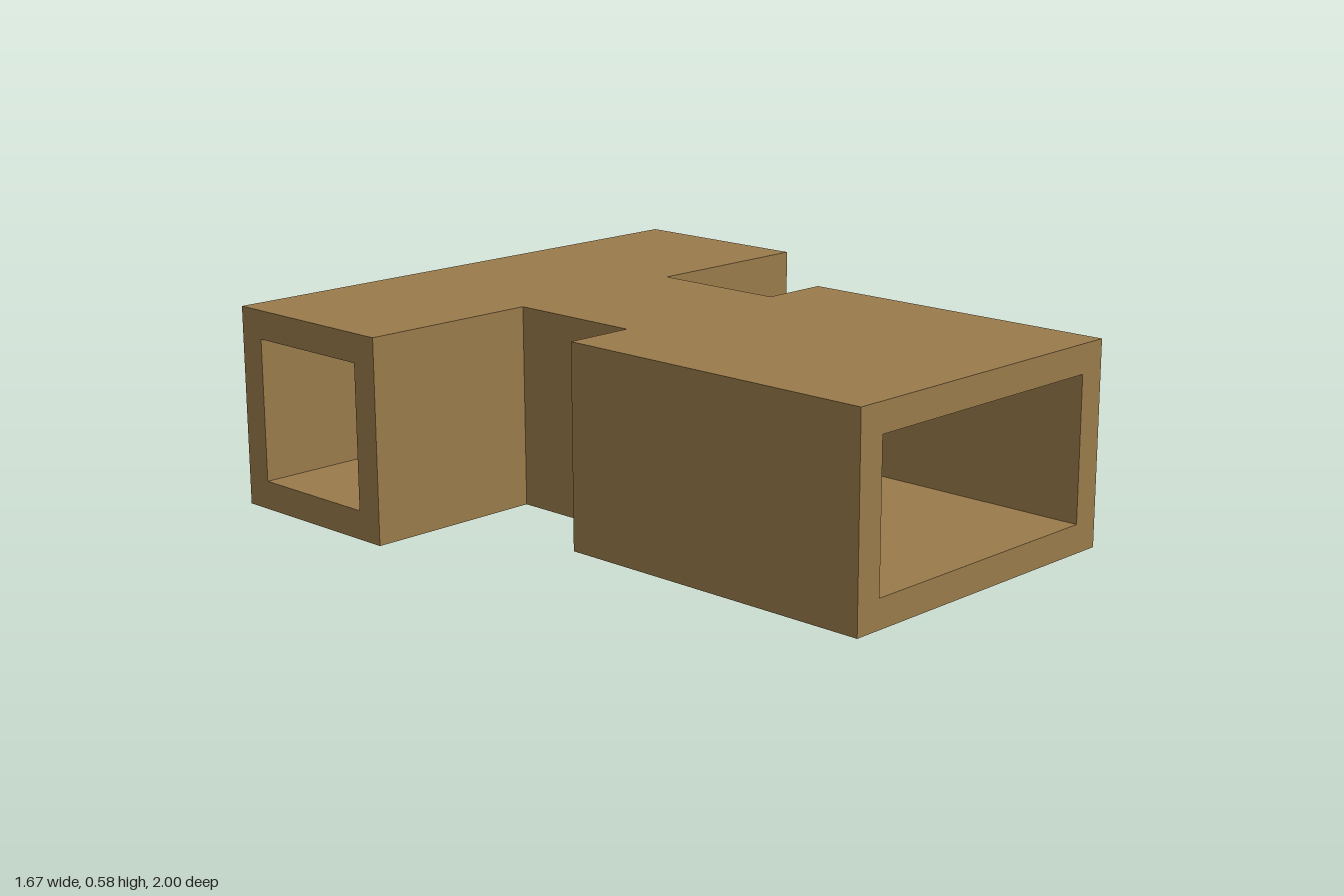
import * as THREE from 'three';
import { mergeGeometries } from 'three/addons/utils/BufferGeometryUtils.js';

const U = 1 / 12; // wall thickness
const H = 7 * U; // overall height
const OPEN_EDGES = [4, 6, 11]; // plan edges left open: two bar ends and the front

// Full plan outline as (x, z) points from its +x half
function mirrorPlan(half) {
  const right = half.map(([x, z]) => new THREE.Vector2(x * U, z * U));
  const left = right.map((p) => new THREE.Vector2(-p.x, p.y)).reverse();
  return [...right, ...left];
}

// Horizontal sheet facing up or down
function sheet(plan, y, up) {
  const s = up ? -1 : 1;
  const shape = new THREE.Shape(plan.map((p) => new THREE.Vector2(p.x, s * p.y)));
  return new THREE.ShapeGeometry(shape).rotateX((s * Math.PI) / 2).translate(0, y, 0);
}

// Upright walls along the plan, facing out of it or into it
function walls(plan, y0, y1, outward) {
  const parts = [];
  plan.forEach((a, i) => {
    if (OPEN_EDGES.includes(i)) return;
    const b = plan[(i + 1) % plan.length];
    const g = new THREE.PlaneGeometry(a.distanceTo(b), y1 - y0);
    const angle = Math.atan2(-(b.y - a.y), b.x - a.x);
    g.rotateY(outward ? angle : angle + Math.PI);
    parts.push(g.translate((a.x + b.x) / 2, (y0 + y1) / 2, (a.y + b.y) / 2));
  });
  return mergeGeometries(parts);
}

// Rectangular rim round an opening, facing +z
function rim(width) {
  const rect = (w, y0, y1) => [[-w, y0], [w, y0], [w, y1], [-w, y1]].map((p) => new THREE.Vector2(...p));
  const shape = new THREE.Shape(rect(width / 2, 0, H));
  shape.holes.push(new THREE.Path(rect(width / 2 - U, U, H - U).reverse()));
  return new THREE.ShapeGeometry(shape);
}

export function createModel() {
  const group = new THREE.Group();
  const material = new THREE.MeshStandardMaterial({ color: 0x9a7b4b, flatShading: true });
  const add = (name, geometry) => {
    const mesh = new THREE.Mesh(geometry, material);
    mesh.name = name;
    group.add(mesh);
  };

  // Wide front box, narrow neck and cross bar at the back
  const outer = mirrorPlan([[6, 12], [6, 0], [3.5, 0], [3.5, -5], [10, -5], [10, -12]]);
  // Connected passage inside them
  const inner = mirrorPlan([[5, 12], [5, 1], [2.5, 1], [2.5, -6], [10, -6], [10, -11]]);

  add('outerShell', mergeGeometries([
    sheet(outer, 0, false), sheet(outer, H, true), walls(outer, 0, H, true),
  ]));
  add('innerPassage', mergeGeometries([
    sheet(inner, U, true), sheet(inner, H - U, false), walls(inner, U, H - U, false),
  ]));

  // Rims of the three openings
  add('frontRim', rim(12 * U).translate(0, 0, 1));
  for (const [name, side] of [['leftRim', 1], ['rightRim', -1]]) {
    add(name, rim(7 * U).rotateY((side * Math.PI) / 2).translate(side * 10 * U, 0, -8.5 * U));
  }
  return group;
}
